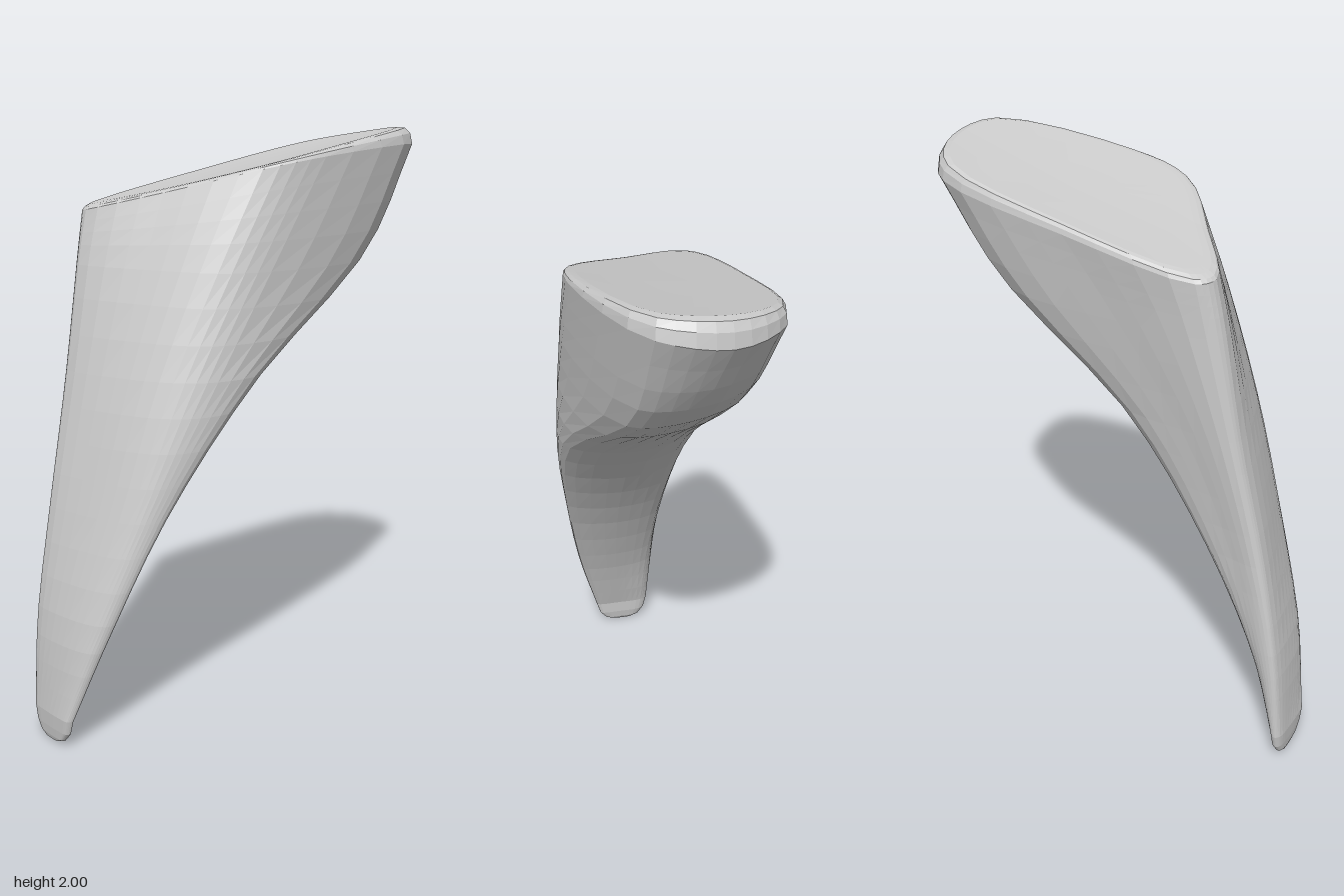
import * as THREE from 'three';

// Cross-sections as [x, z] per rail, running counter-clockwise seen from above:
// left edge, left bevel, front middle, front right, right bulge,
// spine right, spine middle, spine left, left side
const SECTIONS = [
  [0.1, [[-.55, .465], [-.545, .485], [-.49, .53], [-.42, .577], [-.388, .593], [-.37, .583], [-.44, .515], [-.51, .46], [-.54, .455]]],
  [0.4, [[-.545, .44], [-.535, .46], [-.43, .53], [-.32, .578], [-.268, .58], [-.245, .558], [-.34, .45], [-.46, .387], [-.52, .405]]],
  [0.8, [[-.51, .37], [-.5, .4], [-.34, .475], [-.18, .517], [-.11, .502], [-.07, .46], [-.18, .3], [-.35, .222], [-.45, .3]]],
  [1.2, [[-.48, .28], [-.465, .32], [-.27, .4], [-.07, .432], [.06, .385], [.155, .25], [.03, .05], [-.2, -.015], [-.38, .15]]],
  [1.6, [[-.455, .19], [-.435, .255], [-.19, .3], [.07, .315], [.22, .21], [.435, -.25], [.3, -.385], [.05, -.415], [-.27, -.08]]],
];
// Top outline and how far each point sits below the cap
const TOP = [[-.45, .16], [-.42, .228], [-.15, .24], [.17, .213], [.34, .055], [.55, -.42], [.4, -.575], [.15, -.585], [-.2, -.22]];
const DROP = [.02, .015, .01, .012, .025, .07, .09, .06, .03];
// Sloping, slightly warped cap
const capY = (x, z) => {
  const v = x + z;
  return 1.765 + 0.17 * (x + 0.42) + 0.12 * (0.2 - z) + 0.04 * v + 0.06 * v * v;
};

const AROUND = 36, UP = 18;

function buildBody() {
  // Smooth rails running from the tip to the rim
  const rails = TOP.map(([x, z], i) => new THREE.CatmullRomCurve3([
    ...SECTIONS.map(([y, pts]) => new THREE.Vector3(pts[i][0], y, pts[i][1])),
    new THREE.Vector3(x, capY(x, z) - DROP[i], z),
  ]));
  const ring = (pts) => {
    const loop = new THREE.CatmullRomCurve3(pts, true, 'centripetal');
    return Array.from({ length: AROUND }, (_, i) => loop.getPoint(i / AROUND));
  };

  const rings = [];
  // Rounded tip
  const foot = rails.map((r) => r.getPoint(0));
  const tip = new THREE.Vector3(-0.475, 0, 0.525);
  for (const [y, s] of [[0.004, 0.35], [0.018, 0.64], [0.05, 0.87]]) {
    rings.push(ring(foot.map((p) => new THREE.Vector3(
      tip.x + (p.x - tip.x) * s, y, tip.z + (p.z - tip.z) * s))));
  }
  // Curved blade
  for (let j = 0; j <= UP; j++) rings.push(ring(rails.map((r) => r.getPoint(j / UP))));
  // Rolled rim, soft at the back and tight at the front, then the cap
  const mid = new THREE.Vector3(0.05, 0, -0.17);
  for (const [s, d] of [[0.985, 0.45], [0.95, 0.12], [0.9, 0], [0.7, 0], [0.4, 0]]) {
    rings.push(ring(TOP.map(([px, pz], i) => {
      const x = mid.x + (px - mid.x) * s, z = mid.z + (pz - mid.z) * s;
      return new THREE.Vector3(x, capY(x, z) - DROP[i] * d, z);
    })));
  }
  mid.y = capY(mid.x, mid.z);

  const points = [...rings.flat(), tip, mid];
  const index = [];
  const last = (rings.length - 1) * AROUND, tipId = points.length - 2, midId = points.length - 1;
  for (let i = 0; i < AROUND; i++) {
    const n = (i + 1) % AROUND;
    for (let j = 0; j < rings.length - 1; j++) {
      const a = j * AROUND, b = a + AROUND;
      index.push(a + i, a + n, b + n, a + i, b + n, b + i);
    }
    index.push(n, i, tipId, last + i, last + n, midId);
  }
  const geometry = new THREE.BufferGeometry().setFromPoints(points);
  geometry.setIndex(index);
  geometry.computeVertexNormals();
  return geometry;
}

export function createModel() {
  const grey = new THREE.MeshStandardMaterial({ color: 0xcccccc, flatShading: true });
  grey.name = 'light grey';
  const body = new THREE.Mesh(buildBody(), grey);
  body.name = 'curvedBlade';
  const group = new THREE.Group();
  group.name = 'taperedBlade';
  group.add(body);
  return group;
}
